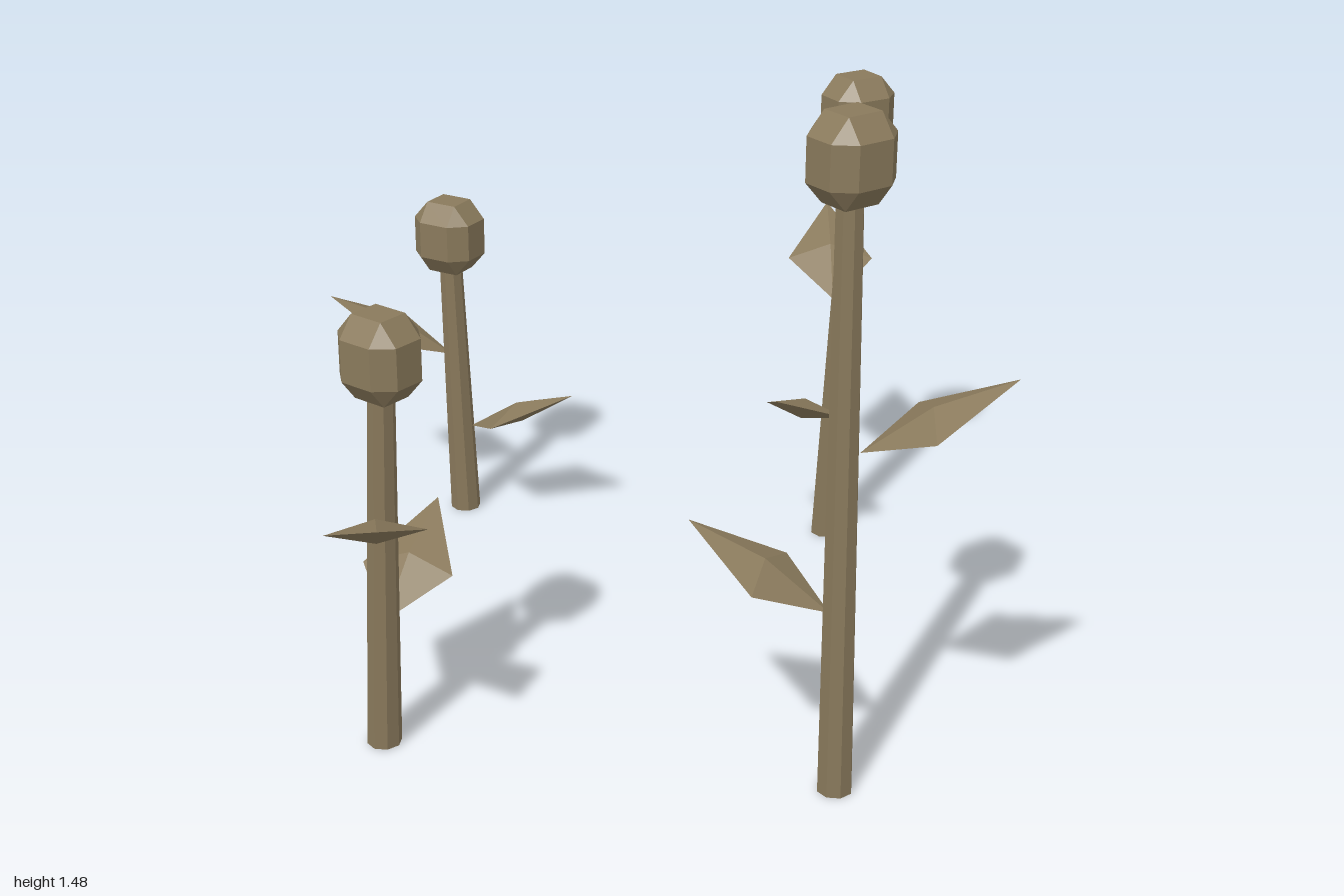
import * as THREE from 'three';
import { ConvexGeometry } from 'three/addons/geometries/ConvexGeometry.js';

const material = new THREE.MeshStandardMaterial({ color: 0x8a7a5c, flatShading: true });
const V = (x, y, z) => new THREE.Vector3(x, y, z);

// Box with all edges and corners cut off
function bloomGeometry() {
  const outer = [0.08, 0.09, 0.07];
  const inner = [0.04, 0.045, 0.035];
  const points = [];
  for (let axis = 0; axis < 3; axis++) {
    for (const sx of [-1, 1]) for (const sy of [-1, 1]) for (const sz of [-1, 1]) {
      const p = inner.slice();
      p[axis] = outer[axis];
      points.push(V(p[0] * sx, p[1] * sy, p[2] * sz));
    }
  }
  return new ConvexGeometry(points);
}

// Rising diamond blade along +x with a ridge above and below
function leafGeometry() {
  return new ConvexGeometry([
    V(0.025, 0, 0), V(0.333, 0.15, 0),
    V(0.155, 0.06, 0.105), V(0.155, 0.06, -0.105),
    V(0.165, 0.095, 0), V(0.185, 0.05, 0),
  ]);
}

// Tapered stem, sheared so its foot stays level on the ground
function stemGeometry(height, leanX, leanZ) {
  const geometry = new THREE.CylinderGeometry(0.028, 0.038, height, 8);
  geometry.translate(0, height / 2, 0);
  const pos = geometry.attributes.position;
  for (let i = 0; i < pos.count; i++) {
    const t = pos.getY(i) / height;
    pos.setX(i, pos.getX(i) + leanX * t);
    pos.setZ(i, pos.getZ(i) + leanZ * t);
  }
  geometry.computeVertexNormals();
  return geometry;
}

// base and bloom centre, leaf heights, leaf and bloom turns in degrees
const plants = [
  { base: [-0.70, -0.34], bloom: [-0.70, 0.765, -0.305], leaves: [0.235, 0.43], turn: 0, bloomTurn: 0 },
  { base: [-0.205, 0.705], bloom: [-0.145, 0.925, 0.74], leaves: [0.28, 0.52], turn: 102, bloomTurn: -8 },
  { base: [0.185, -0.68], bloom: [0.245, 1.135, -0.645], leaves: [0.34, 0.63], turn: -87, bloomTurn: 60 },
  { base: [0.715, 0.385], bloom: [0.715, 1.385, 0.42], leaves: [0.41, 0.77], turn: -173, bloomTurn: 65 },
];

export function createModel() {
  const model = new THREE.Group();
  model.name = 'flowers';
  const bloomGeo = bloomGeometry();
  const leafGeo = leafGeometry();

  const add = (parent, geometry, name) => {
    const mesh = new THREE.Mesh(geometry, material);
    mesh.name = name;
    parent.add(mesh);
    return mesh;
  };

  for (const { base, bloom, leaves, turn, bloomTurn } of plants) {
    const plant = new THREE.Group();
    plant.name = 'flower';
    plant.position.set(base[0], 0, base[1]);
    model.add(plant);

    const dx = bloom[0] - base[0];
    const dz = bloom[2] - base[1];
    add(plant, stemGeometry(bloom[1] - 0.06, dx, dz), 'stem');

    const head = add(plant, bloomGeo, 'bloom');
    head.position.set(dx, bloom[1], dz);
    head.rotation.y = THREE.MathUtils.degToRad(bloomTurn);

    // Lower leaf, then the upper one on the other side
    leaves.forEach((y, i) => {
      const leaf = add(plant, leafGeo, i ? 'upperLeaf' : 'lowerLeaf');
      leaf.position.y = y;
      leaf.rotation.y = THREE.MathUtils.degToRad(turn - i * 154);
    });
  }
  return model;
}
